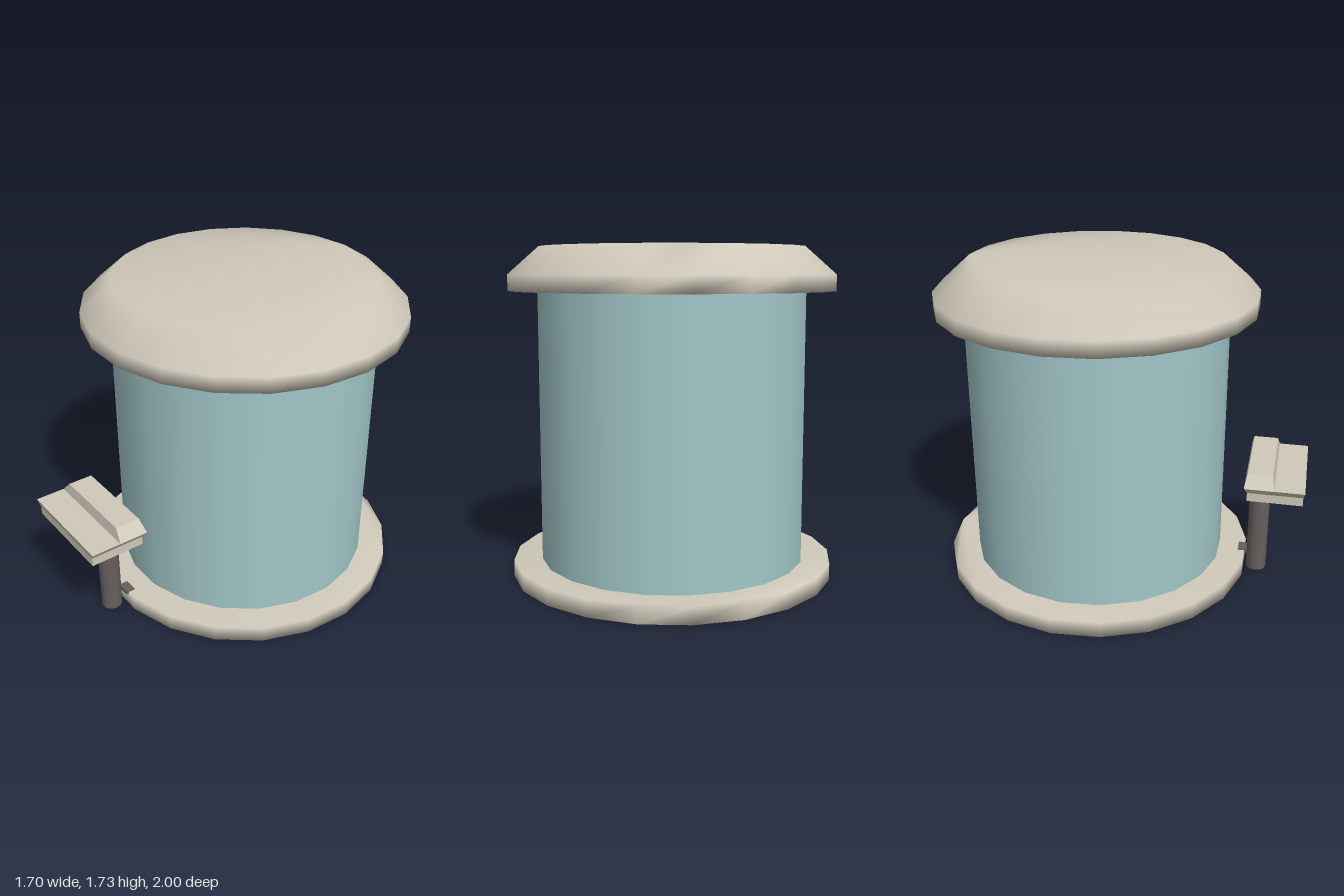
import * as THREE from 'three';

const SIDES = 21;
const CENTER_Z = -0.15;

const mat = (name, color) => Object.assign(new THREE.MeshStandardMaterial({ color }), { name });

// Closed solid from stacked rings of points, capped at both ends without a centre vertex
function loft(rings) {
  const n = rings[0].length;
  const pos = rings.flat(2);
  const idx = [];
  for (let r = 0; r < rings.length - 1; r++) {
    for (let i = 0; i < n; i++) {
      const a = r * n + i, b = r * n + (i + 1) % n;
      idx.push(a, b, b + n, a, b + n, a + n);
    }
  }
  const top = (rings.length - 1) * n;
  for (let i = 1; i < n - 1; i++) {
    idx.push(0, i + 1, i);
    idx.push(top, top + i, top + i + 1);
  }
  const g = new THREE.BufferGeometry();
  g.setAttribute('position', new THREE.Float32BufferAttribute(pos, 3));
  g.setIndex(idx);
  return g;
}

// Round disc with softly shaded edges; profile is a list of [radius, y], bottom to top
function disc(profile) {
  const g = loft(profile.map(([r, y]) => Array.from({ length: SIDES }, (_, i) => {
    const a = Math.PI + (i / SIDES) * Math.PI * 2;
    return [Math.sin(a) * r, y, Math.cos(a) * r];
  })));
  g.computeVertexNormals();
  return g;
}

// Faceted block; each level is [halfWidth, zBack, zFront, y], bottom to top
function block(levels) {
  const g = loft(levels.map(([w, z0, z1, y]) => [
    [-w, y, z1], [w, y, z1], [w, y, z0], [-w, y, z0],
  ])).toNonIndexed();
  g.computeVertexNormals();
  return g;
}

export function createModel() {
  const model = new THREE.Group();
  model.name = 'roundKiosk';
  const stone = mat('warm stone', 0xcfc9ba);
  const glass = mat('pale teal', 0xa3c7c9);
  const metal = mat('dark metal', 0x66605e);

  const add = (name, geometry, material, x = 0, y = 0, z = 0) => {
    const mesh = new THREE.Mesh(geometry, material);
    mesh.name = name;
    mesh.position.set(x, y, z);
    model.add(mesh);
    return mesh;
  };

  // Round building: base slab, drum and bevelled roof
  add('base', disc([[0.85, 0], [0.85, 0.087]]), stone, 0, 0, CENTER_Z);
  const drum = new THREE.CylinderGeometry(0.7, 0.7, 1.44, SIDES, 1, true, Math.PI);
  add('drum', drum, glass, 0, 0.79, CENTER_Z);
  add('roof', disc([[0.85, 1.5], [0.85, 1.583], [0.69, 1.725]]), stone, 0, 0, CENTER_Z);

  // Stand in front: post, flared tray and raised back ledge
  add('post', new THREE.CylinderGeometry(0.056, 0.056, 0.56, 16), metal, 0, 0.28, 0.76);
  add('tray', block([
    [0.268, 0.702, 0.992, 0.556],
    [0.268, 0.702, 0.992, 0.603],
    [0.293, 0.686, 1.0, 0.638],
  ]), stone);
  add('trayLedge', block([
    [0.293, 0.686, 0.842, 0.637],
    [0.238, 0.698, 0.83, 0.697],
  ]), stone);

  // Small bracket tying the post to the base
  add('bracket', new THREE.BoxGeometry(0.075, 0.02, 0.05), metal, 0.035, 0.085, 0.68);

  return model;
}
